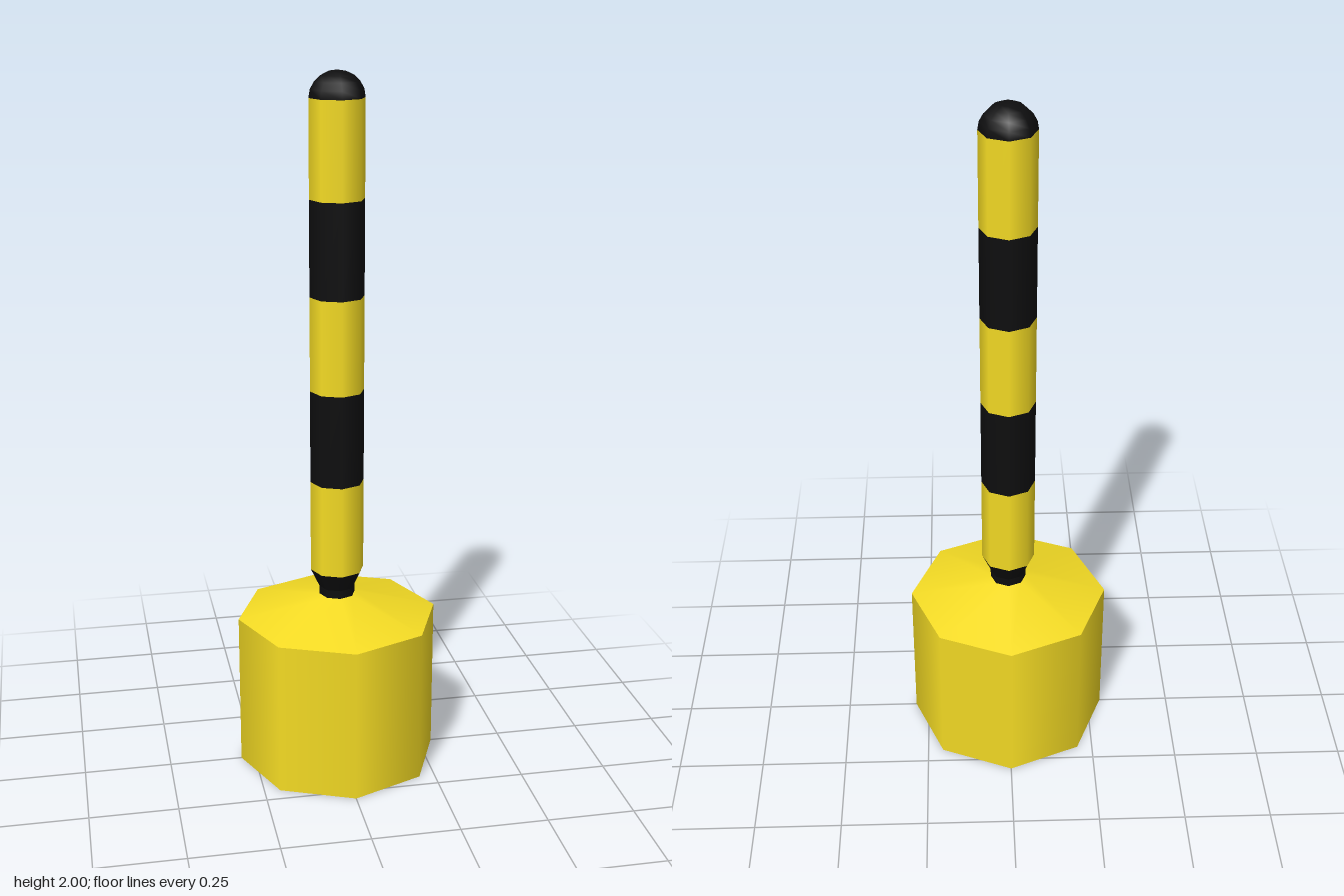
import * as THREE from 'three';

const SIDES = 8;
const yellow = new THREE.MeshStandardMaterial({ color: 0xf5dc24 });
const black = new THREE.MeshStandardMaterial({ color: 0x0e0e0f });

export function createModel() {
  const model = new THREE.Group();
  const add = (name, geometry, material, y = 0) => {
    const mesh = new THREE.Mesh(geometry, material);
    mesh.name = name;
    mesh.position.y = y;
    model.add(mesh);
    return mesh;
  };
  // open eight-sided ring between two heights
  const ring = (name, rTop, rBottom, y0, y1, material) =>
    add(name, new THREE.CylinderGeometry(rTop, rBottom, y1 - y0, SIDES, 1, true), material, (y0 + y1) / 2);

  // float: dark underside, drum wall and shallow cone with a crisp rim
  const floatR = 0.29, neckR = 0.052, postR = 0.077;
  add('floatUnderside', new THREE.CircleGeometry(floatR, SIDES).rotateX(Math.PI / 2), black);
  ring('floatWall', floatR, floatR, 0, 0.45, yellow);
  ring('floatTop', neckR, floatR, 0.45, 0.513, yellow);

  // neck flaring out to the post
  ring('neck', neckR, neckR, 0.513, 0.537, black);
  ring('neckFlare', postR, neckR, 0.537, 0.59, black);

  // post with alternating bands
  const postBase = 0.59, bandHeight = 0.2676;
  for (let i = 0; i < 5; i++) {
    const y = postBase + i * bandHeight;
    ring('postBand' + (i + 1), postR, postR, y, y + bandHeight, i % 2 ? black : yellow);
  }

  // domed cap
  const capBase = postBase + 5 * bandHeight;
  const dome = new THREE.SphereGeometry(postR, SIDES, 5, 0, Math.PI * 2, 0, Math.PI / 2);
  add('cap', dome, black, capBase).scale.y = (2 - capBase) / postR;

  return model;
}
